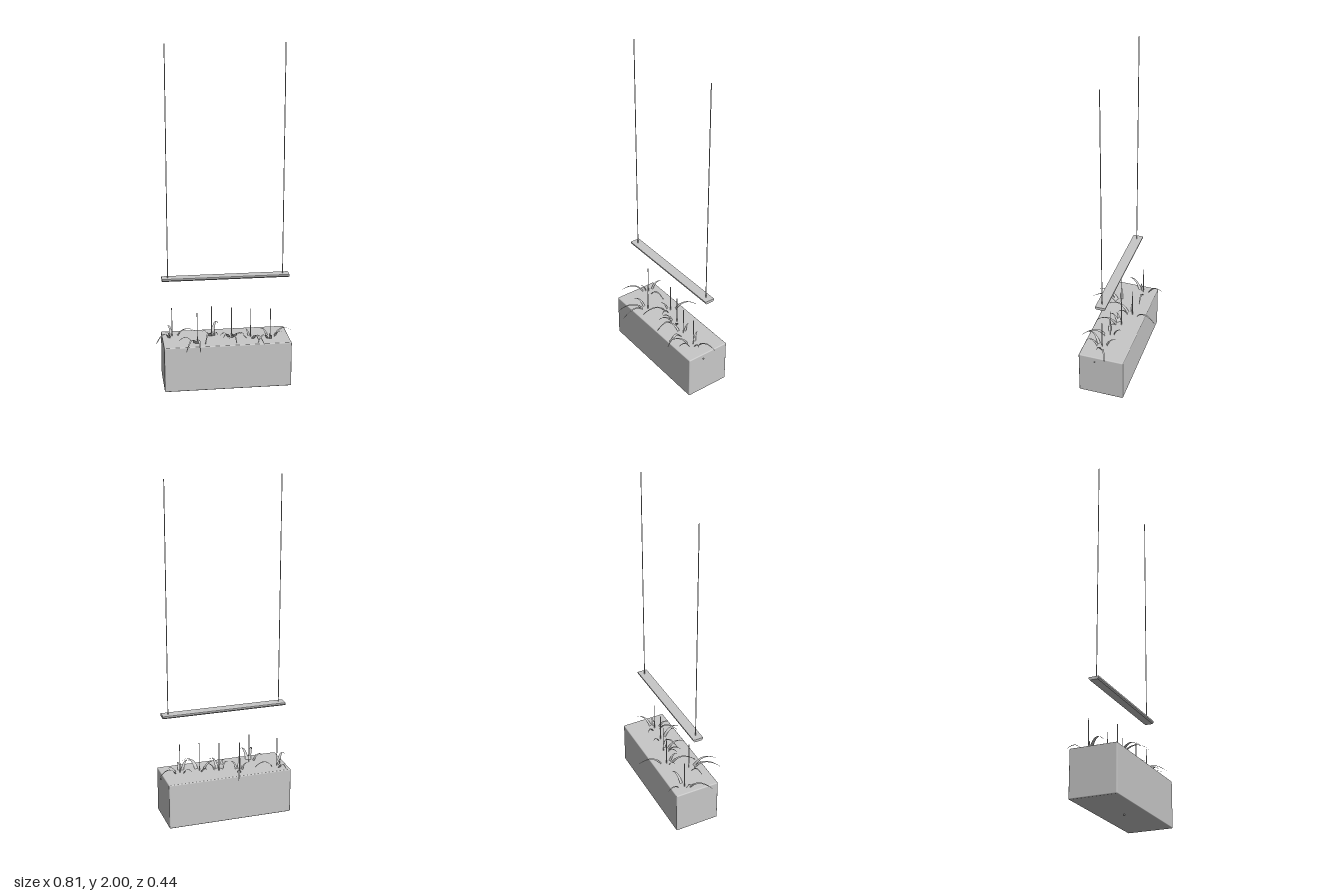
import * as THREE from 'three';
import { RoundedBoxGeometry } from 'three/addons/geometries/RoundedBoxGeometry.js';

const CX = 0.0075, CZ = -0.0085;

// stem position [x, z] and leaves [heading in degrees from +x towards +z, reach]
const PLANTS = [
  { stem: [-0.305, -0.065], leaves: [[-99, 0.114], [-6, 0.144], [127, 0.168], [144, 0.05]] },
  { stem: [-0.165, 0.037], leaves: [[115, 0.187], [90, 0.183], [165, 0.115]] },
  { stem: [-0.07, -0.065], leaves: [[-70, 0.166], [108, 0.175], [156, 0.066], [71, 0.09]] },
  { stem: [0.045, -0.03], leaves: [[86, 0.152], [39, 0.087], [143, 0.094], [123, 0.109]] },
  { stem: [0.155, 0.005], leaves: [[70, 0.167], [76, 0.127], [-114, 0.066], [160, 0.14]] },
  { stem: [0.27, 0.018], leaves: [[129, 0.145], [95, 0.097], [10, 0.071], [-23, 0.147], [-127, 0.087]] },
];

// arched, tapering ribbon along +x with a slight crease along its midrib
function leafGeometry(reach) {
  const start = Math.min(0.03, reach * 0.3);
  const curve = new THREE.QuadraticBezierCurve3(
    new THREE.Vector3(start, 0.276, 0),
    new THREE.Vector3(start + (reach - start) * 0.4, 0.3 + reach * 0.35, 0),
    new THREE.Vector3(reach, 0.322 - reach * 0.2, 0));
  const width = 0.012 + reach * 0.05;
  const steps = 8, positions = [], index = [];
  for (let i = 0; i <= steps; i++) {
    const t = i / steps, p = curve.getPoint(t);
    const half = width * 0.5 * (1 - 0.82 * t);
    for (const s of [-1, 0, 1]) positions.push(p.x, p.y - (s === 0 ? half * 0.25 : 0), half * s);
    if (i < steps) for (let k = 0; k < 2; k++) {
      const a = i * 3 + k;
      index.push(a, a + 1, a + 3, a + 1, a + 4, a + 3);
    }
  }
  const geometry = new THREE.BufferGeometry();
  geometry.setAttribute('position', new THREE.Float32BufferAttribute(positions, 3));
  geometry.setIndex(index);
  geometry.computeVertexNormals();
  return geometry;
}

export function createModel() {
  const model = new THREE.Group();
  model.name = 'hangingLightPlanter';
  const grey = new THREE.MeshStandardMaterial({ color: 0xc8c8c8, side: THREE.DoubleSide });
  grey.name = 'plain grey';

  const add = (name, geometry, x, y, z, parent = model) => {
    const mesh = new THREE.Mesh(geometry, grey);
    mesh.name = name;
    mesh.position.set(x, y, z);
    parent.add(mesh);
    return mesh;
  };
  const rod = (radius, length) => new THREE.CylinderGeometry(radius, radius, length, 8);

  // planter trough with softly rounded edges
  add('planterBox', new RoundedBoxGeometry(0.745, 0.272, 0.273, 3, 0.006), CX, 0.144, CZ);
  add('drainPlug', rod(0.004, 0.012), 0.003, 0.006, 0);
  add('sidePlug', rod(0.004, 0.01), 0.382, 0.25, 0.028).rotation.z = Math.PI / 2;

  // light bar: flat top, bevelled lower edges
  const profile = new THREE.Shape();
  profile.moveTo(-0.03, 0.662);
  profile.lineTo(-0.03, 0.653);
  profile.lineTo(-0.023, 0.645);
  profile.lineTo(0.023, 0.645);
  profile.lineTo(0.03, 0.653);
  profile.lineTo(0.03, 0.662);
  const bar = new THREE.ExtrudeGeometry(profile, { depth: 0.745, bevelEnabled: false });
  bar.translate(0, 0, -0.3725).rotateY(Math.PI / 2);
  add('lightBar', bar, CX, 0, -0.01);

  // suspension cables
  for (const x of [-0.33, 0.344]) add('cable', rod(0.0025, 1.34), x, 1.33, -0.01);

  // plants: upright stem and arching leaves
  for (const { stem: [x, z], leaves } of PLANTS) {
    const plant = new THREE.Group();
    plant.name = 'plant';
    plant.position.set(x, 0, z);
    add('stem', rod(0.0025, 0.185), 0, 0.3625, 0, plant);
    for (const [heading, reach] of leaves) {
      add('leaf', leafGeometry(reach), 0, 0, 0, plant).rotation.y = -THREE.MathUtils.degToRad(heading);
    }
    model.add(plant);
  }
  return model;
}
